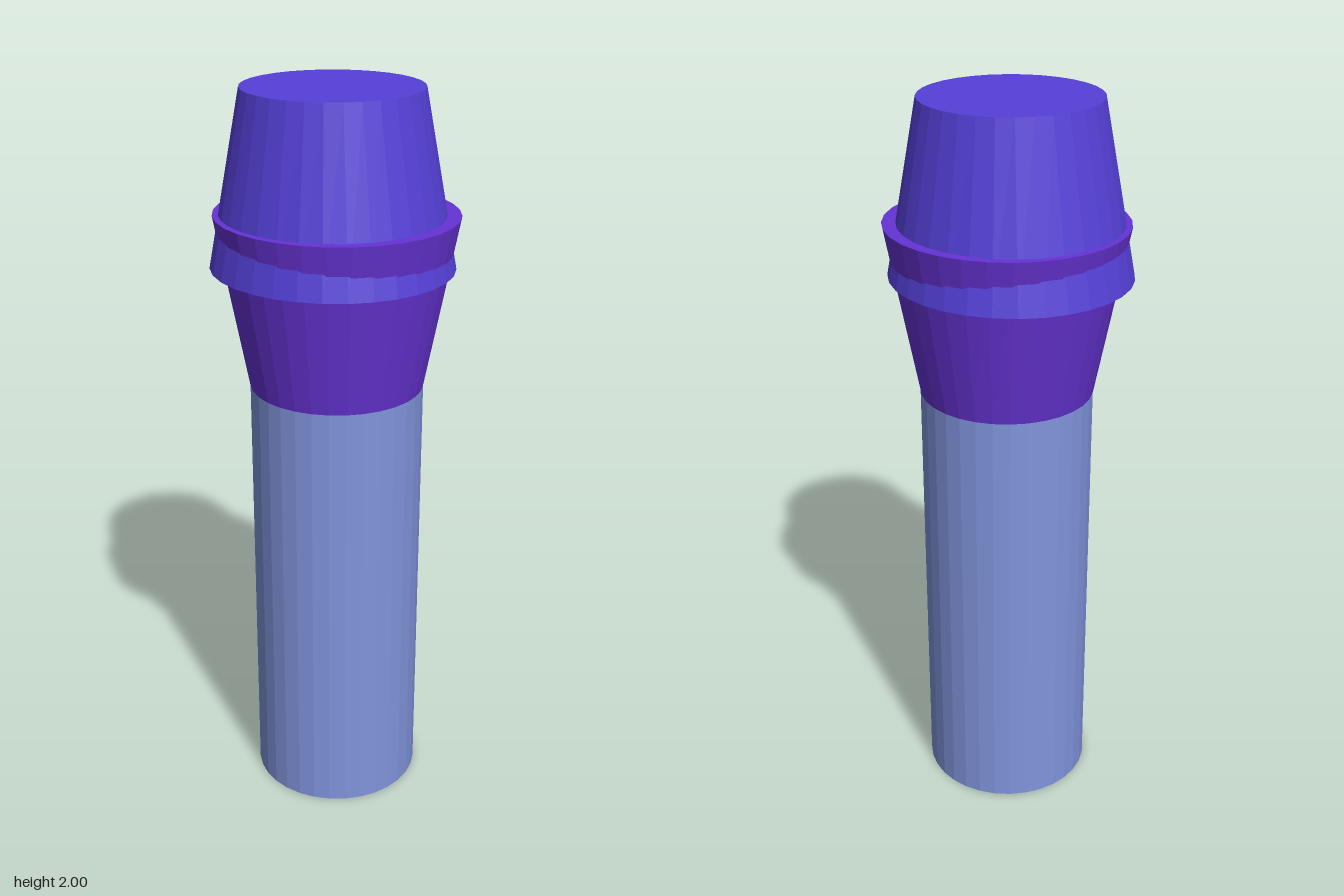
import * as THREE from 'three';

// A closed 32-sided frustum between two elliptical rings {y, x, z, rx, rz}.
function frustum(name, low, high, color) {
  const geometry = new THREE.CylinderGeometry(1, 1, 1, 32);
  const pos = geometry.attributes.position;
  for (let i = 0; i < pos.count; i++) {
    const ring = pos.getY(i) < 0 ? low : high;
    pos.setXYZ(i, ring.x + pos.getX(i) * ring.rx, ring.y, ring.z + pos.getZ(i) * ring.rz);
  }
  geometry.computeVertexNormals();
  const mesh = new THREE.Mesh(geometry, new THREE.MeshStandardMaterial({ color, flatShading: true }));
  mesh.name = name;
  return mesh;
}

const ring = (y, x, z, rx, rz = rx) => ({ y, x, z, rx, rz });

export function createModel() {
  const group = new THREE.Group();
  group.name = 'capsuleHeadedRod';

  // Straight shaft, slightly forward of the centre
  const neck = ring(1.215, 0, 0.007, 0.233);
  group.add(frustum('shaft', ring(0, 0, 0.007, 0.233), neck, 0x8094dc));

  // Two opposed cones that overlap; their wide rims form the double flange
  group.add(frustum('lowerCone', neck, ring(1.68, 0.003, 0.004, 0.316, 0.324), 0x6633d4));
  group.add(frustum('upperCone', ring(1.54, -0.003, -0.005, 0.315, 0.325), ring(2, -0.001, -0.006, 0.234), 0x5540d8));

  return group;
}
